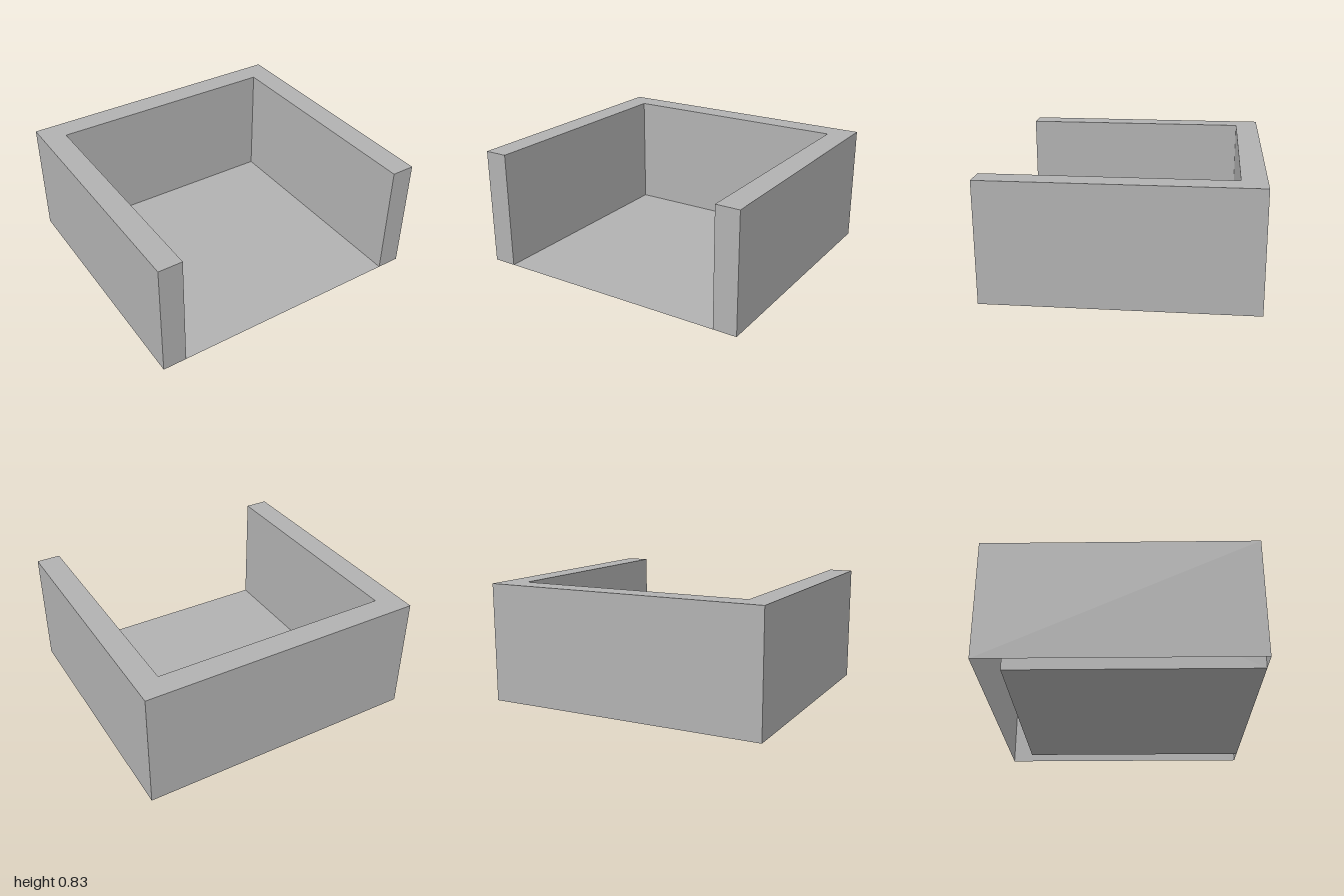
import * as THREE from 'three';

const HEIGHT = 0.833, HALF_DEPTH = 0.917, INNER_X = 0.833, INNER_BACK = -0.75;

// U-shaped wall plan as [x, z], open towards the front
const PLAN = [
  [-1, HALF_DEPTH], [-INNER_X, HALF_DEPTH], [-INNER_X, INNER_BACK], [INNER_X, INNER_BACK],
  [INNER_X, HALF_DEPTH], [1, HALF_DEPTH], [1, -HALF_DEPTH], [-1, -HALF_DEPTH],
];

// Vertical faces along the plan, left open at the bottom
function wallSkin() {
  const positions = [];
  PLAN.forEach(([ax, az], i) => {
    const [bx, bz] = PLAN[(i + 1) % PLAN.length];
    positions.push(ax, 0, az, bx, 0, bz, bx, HEIGHT, bz);
    positions.push(ax, 0, az, bx, HEIGHT, bz, ax, HEIGHT, az);
  });
  const geometry = new THREE.BufferGeometry();
  geometry.setAttribute('position', new THREE.Float32BufferAttribute(positions, 3));
  geometry.computeVertexNormals();
  return geometry;
}

export function createModel() {
  const group = new THREE.Group();
  group.name = 'openTray';
  const grey = new THREE.MeshStandardMaterial({ color: 0xb2b2b2, side: THREE.DoubleSide });
  grey.name = 'grey';

  const add = (name, geometry) => {
    const mesh = new THREE.Mesh(geometry, grey);
    mesh.name = name;
    group.add(mesh);
    return mesh;
  };

  add('walls', wallSkin());

  // Flat rim closing the top of the walls
  const rimShape = new THREE.Shape(PLAN.map(([x, z]) => new THREE.Vector2(x, -z)));
  add('rim', new THREE.ShapeGeometry(rimShape).rotateX(-Math.PI / 2)).position.y = HEIGHT;

  // Thin floor between the walls, running to the front edge
  const floor = new THREE.PlaneGeometry(2 * INNER_X, HALF_DEPTH - INNER_BACK).rotateX(-Math.PI / 2);
  add('floor', floor).position.z = (HALF_DEPTH + INNER_BACK) / 2;

  return group;
}
